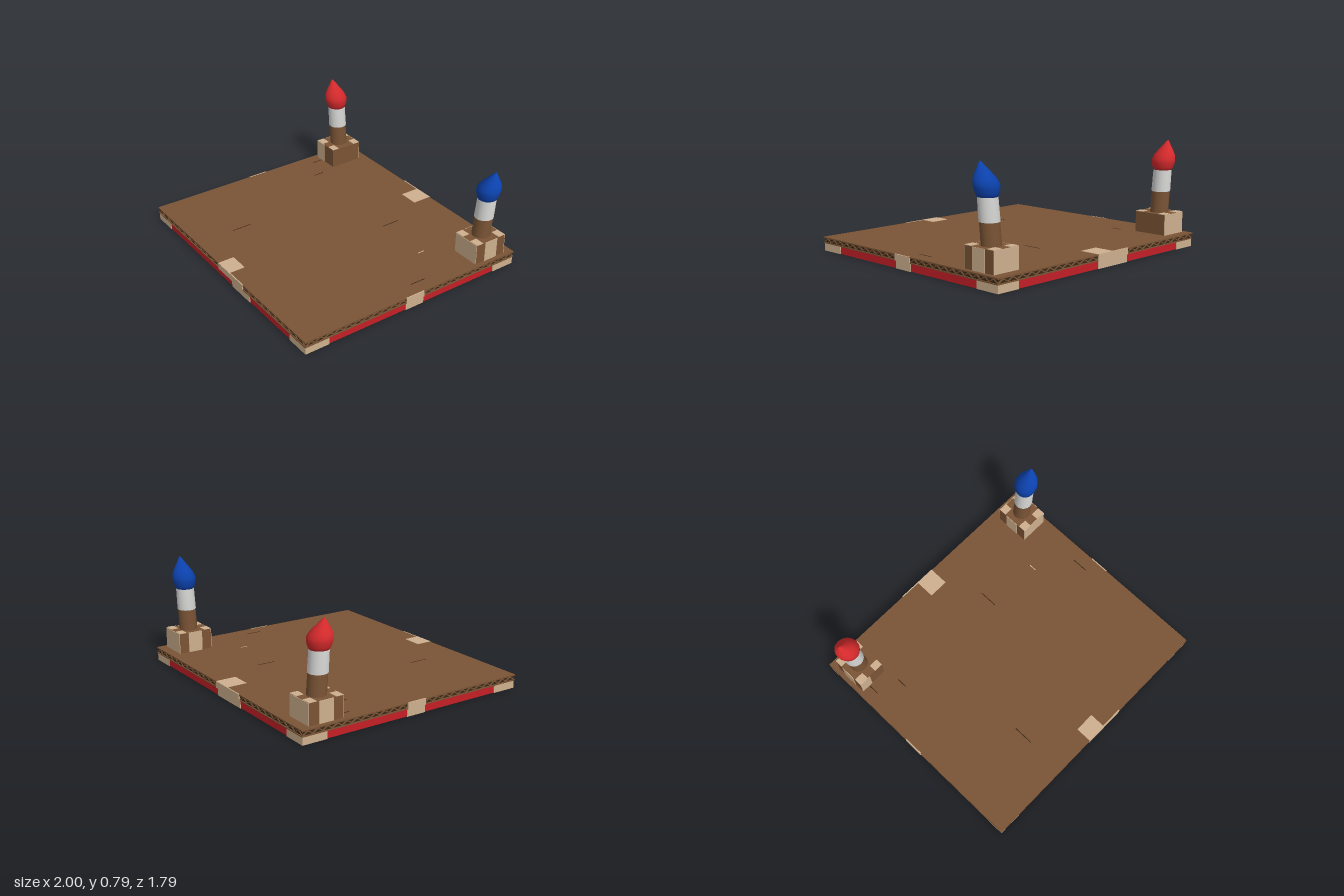
import * as THREE from 'three';

const mat = (name, color) => new THREE.MeshStandardMaterial({ name, color });

export function createModel() {
  const root = new THREE.Group();
  root.name = 'cardboardArena';
  const brown = mat('cardboardBrown', 0x7a5435);
  const core = mat('cardboardCore', 0x3a2817);
  const beige = mat('maskingTape', 0xcfb08e);
  const red = mat('redStrip', 0xc41f26);
  const flameRed = mat('redPaint', 0xd62a2c);
  const blue = mat('bluePaint', 0x0c43b0);
  const white = mat('whitePaint', 0xd9d9d8);
  const black = mat('blackUnderside', 0x050505);

  // Box given by its bounds
  const box = (parent, name, m, [x0, x1], [y0, y1], [z0, z1]) => {
    const g = new THREE.BoxGeometry(x1 - x0, y1 - y0, z1 - z0);
    g.translate((x0 + x1) / 2, (y0 + y1) / 2, (z0 + z1) / 2);
    const mesh = new THREE.Mesh(g, m);
    mesh.name = name;
    parent.add(mesh);
    return mesh;
  };

  const X = 0.995, Z = 0.89, TOP = 0.1, MID = 0.055;

  // Corrugated board: two liners around a dark core
  const board = new THREE.Group();
  board.name = 'board';
  root.add(board);
  box(board, 'topLiner', brown, [-X, X], [0.09, TOP], [-Z, Z]);
  box(board, 'boardCore', core, [-X + 0.008, X - 0.008], [0.06, 0.091], [-Z + 0.008, Z - 0.008]);
  box(board, 'bottomLiner', brown, [-X, X], [MID, 0.062], [-Z, Z]);

  // Zigzag flutes along the four edges
  const flutes = (half) => {
    const n = 48, line = [];
    for (let i = 0; i <= n; i++) line.push([-half + (2 * half * i) / n, i % 2 ? 0.083 : 0.061]);
    const s = new THREE.Shape();
    line.forEach(([x, y], i) => (i ? s.lineTo(x, y) : s.moveTo(x, y)));
    line.reverse().forEach(([x, y]) => s.lineTo(x, y + 0.009));
    return new THREE.ExtrudeGeometry(s, { depth: 0.006, bevelEnabled: false });
  };
  for (let i = 0; i < 4; i++) {
    const along = i % 2 ? Z : X, out = i % 2 ? X : Z;
    const g = flutes(along - 0.008);
    g.translate(0, 0, out - 0.009);
    g.rotateY((i * Math.PI) / 2);
    const f = new THREE.Mesh(g, brown);
    f.name = 'edgeFlutes';
    board.add(f);
  }

  // Worn creases in the top
  [[0.2, -0.41, 0.14], [-0.385, 0.52, 0.15], [0.89, -0.1, 0.12], [-0.9, -0.51, 0.08], [-0.72, -0.4, 0.08]]
    .forEach(([x, z, len]) =>
      box(board, 'crease', core, [x - 0.003, x + 0.003], [0.099, 0.101], [z - len / 2, z + len / 2]));
  box(board, 'paleCrease', beige, [0.62, 0.627], [0.099, 0.101], [-0.375, -0.32]);

  // Frame of red strips under the board, taped at corners and middles
  const frame = new THREE.Group();
  frame.name = 'underFrame';
  root.add(frame);
  const fx = 0.985, fz = 0.88, w = 0.04, t = 0.005;
  box(frame, 'underside', black, [-fx + w, fx - w], [0.003, 0.054], [-fz + w, fz - w]);
  for (const s of [-1, 1]) {
    const span = (o, i) => (s > 0 ? [i, o] : [-o, -i]);
    box(frame, 'longStrip', red, [-fx, fx], [0.001, MID], span(fz, fz - w));
    box(frame, 'sideStrip', red, span(fx, fx - w), [0.001, MID], [-fz + w, fz - w]);
    box(frame, 'longMiddleTape', beige, s > 0 ? [0.09, 0.32] : [-0.24, 0.06], [0, MID], span(fz + t, fz - w - t));
    box(frame, 'sideMiddleTape', beige, span(fx + t, fx - w - t), [0, MID], [-0.07, 0.08]);
    for (const c of [-1, 1]) {
      const zs = (o, i) => (c > 0 ? [i, o] : [-o, -i]);
      box(frame, 'cornerTapeLong', beige, span(fx + t, 0.81), [0, MID], zs(fz + t, fz - w - t));
      box(frame, 'cornerTapeSide', beige, span(fx + t, fx - w - t), [0, MID], zs(fz - w - t, 0.7));
      box(frame, 'cornerTapeFill', beige, span(fx - w - t, 0.91), [0, MID], zs(fz - w - t, 0.805));
    }
    // Tape folded over the board edges
    box(board, 'topTape', beige, [-0.08, 0.07], [0.099, 0.103], span(Z + 0.003, s > 0 ? 0.77 : 0.74));
    box(board, 'edgeTape', beige, s > 0 ? [-0.08, 0.24] : [-0.24, 0.07], [MID, 0.102], span(Z + 0.004, Z - 0.004));
    box(board, 'sideEdgeTape', beige, span(X + 0.004, X - 0.004), [MID, 0.101], [-0.07, 0.08]);
  }

  // Corner torches: taped block, leaning post, painted flame
  const lathe = (parent, name, m, profile, side) => {
    const g = new THREE.LatheGeometry(profile.map(([r, y]) => new THREE.Vector2(r, y)), 24);
    const p = g.attributes.position;
    for (let i = 0; i < p.count; i++) {
      const y = p.getY(i);
      const lean = 0.1 * (y - 0.25) + 0.27 * Math.max(0, y - 0.63);
      p.setX(i, p.getX(i) + side * (0.855 + lean));
      p.setZ(i, p.getZ(i) - 0.69);
    }
    const mesh = new THREE.Mesh(g, m);
    mesh.name = name;
    parent.add(mesh);
  };
  for (const s of [-1, 1]) {
    const torch = new THREE.Group();
    torch.name = s > 0 ? 'leftTorch' : 'rightTorch';
    root.add(torch);
    const xr = (a, b) => (s > 0 ? [a, b] : [-b, -a]);
    const x0 = 0.748, x1 = 0.962, z0 = -0.817, z1 = -0.56, h = 0.25, e = 0.004;
    box(torch, 'block', brown, [...xr(x0, x1)], [TOP, h], [z0, z1]);
    // Tape on the block
    box(torch, 'frontTape', beige, xr(s > 0 ? x0 : 0.87, x1), [TOP, h], [z1, z1 + e]);
    box(torch, 'backTape', beige, xr(x0, x1), [TOP, h], [z0 - e, z0]);
    box(torch, 'outerTape', beige, xr(x1, x1 + e), [TOP, h], [-0.745, -0.635]);
    if (s > 0) box(torch, 'innerTape', beige, xr(x0 - e, x0), [TOP, h], [-0.745, -0.635]);
    for (const [a, b] of [[x0, 0.815], [0.89, x1]])
      for (const z of [[z0, -0.76], [-0.615, z1]])
        box(torch, 'topCornerTape', beige, xr(a, b), [h, h + e], z);
    // Post and flame
    lathe(torch, 'post', brown, [[0.066, 0.24], [0.065, 0.405]], s);
    lathe(torch, 'whiteBand', white, [[0.065, 0.4], [0.068, 0.402], [0.066, 0.56]], s);
    const tip = s > 0 ? 0.785 : 0.77;
    const flame = [[0, 0], [0.064, 0], [0.076, 0.12], [0.084, 0.27], [0.084, 0.38], [0.074, 0.52],
      [0.053, 0.67], [0.03, 0.82], [0.012, 0.94], [0, 1]]
      .map(([r, k]) => [r, 0.553 + k * (tip - 0.553)]);
    lathe(torch, 'flame', s > 0 ? blue : flameRed, flame, s);
  }
  return root;
}
